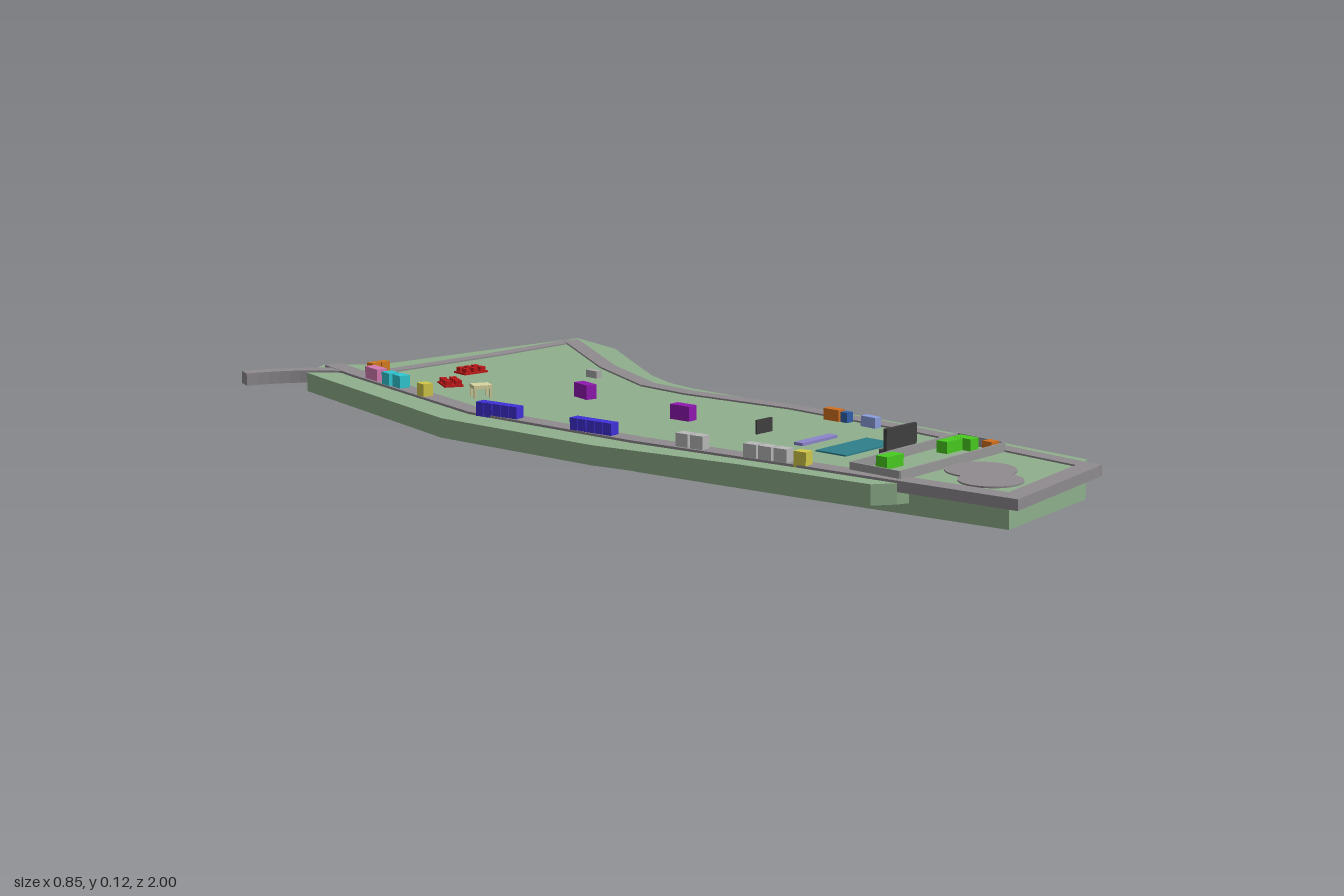
import * as THREE from 'three';

const TOP = 0.063; // level of the lawn
const GREEN = 0x8fb08c, ROAD = 0x8f8b8f;

const materials = {};
const mat = (color) => (materials[color] ??= new THREE.MeshStandardMaterial({ color }));
const toVec = (pts) => pts.map(([x, z]) => new THREE.Vector2(x, -z));

export function createModel() {
  const root = new THREE.Group();
  root.name = 'festivalGround';

  const add = (name, geometry, color, parent = root) => {
    const mesh = new THREE.Mesh(geometry, mat(color));
    mesh.name = name;
    parent.add(mesh);
    return mesh;
  };

  // Flat slab from a plan outline given as [x, z]
  const slab = (name, outline, y0, y1, color) => {
    const g = new THREE.ExtrudeGeometry(new THREE.Shape(outline), { depth: y1 - y0, bevelEnabled: false });
    g.rotateX(-Math.PI / 2).translate(0, y0, 0);
    return add(name, g, color);
  };

  // Road of constant width along a plan path, with mitred corners
  const road = (name, pts, width, y0, y1) => {
    const p = toVec(pts), left = [], right = [];
    p.forEach((c, i) => {
      const a = c.clone().sub(p[Math.max(i - 1, 0)]).normalize();
      const b = p[Math.min(i + 1, p.length - 1)].clone().sub(c).normalize();
      const t = a.clone().add(b).normalize();
      const cos = Math.max(0.5, t.dot(i ? a : b));
      const n = new THREE.Vector2(-t.y, t.x).multiplyScalar(width / 2 / cos);
      left.push(c.clone().add(n));
      right.unshift(c.clone().sub(n));
    });
    return slab(name, [...left, ...right], y0, y1, ROAD);
  };

  // Box standing on the lawn, turned about y
  const block = (name, x, z, w, d, top, turn, color, base = TOP) => {
    const m = add(name, new THREE.BoxGeometry(w, top - base, d), color);
    m.position.set(x, (top + base) / 2, z);
    m.rotation.y = turn;
    return m;
  };

  // Surrounding terrain
  slab('outerGround', toVec([
    [-0.22, -0.97], [-0.12, -0.89], [0.425, -0.875], [0.405, -0.71], [0.32, -0.53], [0.26, -0.4],
    [0.235, -0.31], [0.23, -0.23], [0.25, -0.07], [0.3, 0.17], [0.325, 0.4], [0.35, 0.82],
    [0.31, 0.84], [-0.08, 0.74], [-0.125, 0.715], [-0.2, 0.42], [-0.305, 0.1], [-0.375, -0.31],
    [-0.305, -0.91],
  ]), 0.022, TOP, GREEN);

  // Deeper core below the enclosed field
  slab('fieldCore', toVec([
    [-0.21, -0.81], [0.375, -0.845], [0.24, -0.53], [0.175, -0.31], [0.185, -0.18], [0.25, 0.08],
    [0.28, 0.4], [0.295, 0.87], [0, 0.955], [-0.12, 0.5], [-0.21, 0.13], [-0.275, -0.31],
  ]), 0, 0.064, GREEN);

  // Perimeter roads
  road('westRoad', [[-0.215, -0.94], [-0.235, -0.8], [-0.285, -0.31], [-0.21, 0.13], [-0.115, 0.5], [-0.005, 0.97],
    [0.3, 0.873]], 0.042, 0.046, 0.068);
  road('eastRoad', [[0.3, 0.89], [0.28, 0.4], [0.25, 0.08], [0.185, -0.18], [0.175, -0.31], [0.24, -0.53], [0.385, -0.85]],
    0.036, 0.046, 0.0675);
  road('northRoad', [[-0.235, -0.8], [0.14, -0.815], [0.375, -0.84]], 0.032, 0.05, 0.067);
  const exit = new THREE.QuadraticBezierCurve(new THREE.Vector2(-0.42, -0.985),
    new THREE.Vector2(-0.29, -0.955), new THREE.Vector2(-0.225, -0.86));
  road('exitRoad', exit.getPoints(10).map((v) => [v.x, v.y]), 0.034, 0.04, 0.0672);

  // Round paved areas
  [[0.115, 0.765, 0.07], [0.065, 0.842, 0.063]].forEach(([x, z, r], i) => {
    add('pavedCircle', new THREE.CylinderGeometry(r, r, 0.006, 40), ROAD).position.set(x, 0.064 + i * 0.0003, z);
  });

  // Fence around the backstage yard
  const yard = [[-0.08, 0.61], [0.27, 0.545], [0.275, 0.67], [-0.065, 0.73]];
  yard.forEach(([x, z], i) => {
    const [u, v] = yard[(i + 1) % 4];
    block('yardFence', (x + u) / 2, (z + v) / 2, Math.hypot(u - x, v - z), 0.004, 0.083,
      Math.atan2(z - v, u - x), 0x999999);
  });

  // Main stage, its screen and the smaller panel
  block('stageFloor', 0.077, 0.457, 0.16, 0.075, 0.067, 0.15, 0x2f7f8c);
  block('stageBarrier', 0.058, 0.36, 0.11, 0.022, 0.07, 0.15, 0x8c85cc);
  block('screenBase', 0.095, 0.555, 0.085, 0.022, 0.08, 0.12, 0x555555);
  block('stageScreen', 0.098, 0.56, 0.092, 0.008, 0.122, 0.12, 0x404040);
  block('smallPanel', 0.035, 0.23, 0.046, 0.004, 0.093, 0.12, 0x404040);

  // Rows of joined stalls
  [[-0.28, -0.235, 0.25], [-0.235, 0.02, 0.22]].forEach(([x, z, turn]) => {
    for (let i = -2; i <= 2; i++) {
      block('rowStall', x + Math.sin(turn) * i * 0.0215, z + Math.cos(turn) * i * 0.0215,
        0.024, 0.02, 0.093, turn, 0x4030d8);
    }
  });

  // Grey and yellow stalls along the west road
  [[-0.183, 0.243], [-0.175, 0.278], [-0.147, 0.405], [-0.139, 0.44], [-0.13, 0.475]].forEach(([x, z]) =>
    block('greyStall', x, z, 0.024, 0.03, 0.095, 0.24, 0xb8b8b8));
  [[-0.12, 0.52, 0.24], [-0.272, -0.51, -0.1]].forEach(([x, z, turn]) =>
    block('yellowStall', x, z, 0.023, 0.028, 0.095, turn, 0xd2c848));

  // Stalls near the north end
  block('pinkStall', -0.245, -0.73, 0.025, 0.052, 0.094, -0.1, 0xd87cb4);
  [-0.66, -0.62].forEach((z) => block('cyanStall', -0.256, z, 0.025, 0.031, 0.095, -0.08, 0x30c8d4));
  [-0.202, -0.178].forEach((x) => block('northBooth', x, -0.8, 0.023, 0.02, 0.09, 0.1, 0xd07a20));

  // Purple kiosks in the middle of the field
  block('purpleKiosk', -0.013, -0.29, 0.025, 0.05, 0.095, -0.1, 0x9018b0);
  block('purpleKiosk', -0.003, 0.022, 0.025, 0.05, 0.095, 0.2, 0x9018b0);

  // Red seating platforms with dark tables
  [[-0.028, -0.678, 0], [-0.147, -0.59, 1.2]].forEach(([x, z, turn]) => {
    block('seatingPlatform', x, z, 0.062, 0.042, 0.068, turn, 0xc01818);
    for (const a of [-0.02, 0, 0.02]) for (const b of [-0.011, 0.011]) {
      block('seatingTable', x + a * Math.cos(turn) + b * Math.sin(turn), z - a * Math.sin(turn) + b * Math.cos(turn),
        0.013, 0.014, 0.077, turn, 0xc01818);
    }
  });

  // Cream canopy on four posts
  const canopy = new THREE.Group();
  canopy.name = 'canopy';
  canopy.position.set(-0.18, TOP, -0.435);
  canopy.rotation.y = -0.35;
  root.add(canopy);
  add('canopyRoof', new THREE.BoxGeometry(0.04, 0.008, 0.034), 0xd8d4a0, canopy).position.y = 0.025;
  for (const x of [-0.017, 0.017]) for (const z of [-0.014, 0.014]) {
    add('canopyPost', new THREE.BoxGeometry(0.005, 0.022, 0.005), 0xd8d4a0, canopy).position.set(x, 0.011, z);
  }

  // East side huts
  block('eastHut', 0.145, -0.46, 0.016, 0.032, 0.08, 0.1, 0xaaaaaa);
  block('orangeHut', 0.23, 0.225, 0.02, 0.04, 0.088, 0.15, 0xd07020);
  block('blueHut', 0.236, 0.257, 0.018, 0.018, 0.085, 0.1, 0x3060a8);
  block('lavenderHut', 0.24, 0.325, 0.018, 0.04, 0.086, 0.06, 0x8ca0e0);

  // Backstage cabins
  block('greenCabin', 0.007, 0.627, 0.05, 0.028, 0.088, 0.12, 0x48cc20);
  block('greenCabin', 0.195, 0.598, 0.05, 0.026, 0.088, 0.15, 0x48cc20);
  block('greenCabin', 0.235, 0.602, 0.026, 0.045, 0.088, 0.12, 0x48cc20);
  block('orangeCabin', 0.244, 0.662, 0.022, 0.024, 0.089, 0.05, 0xd07020);

  return root;
}
